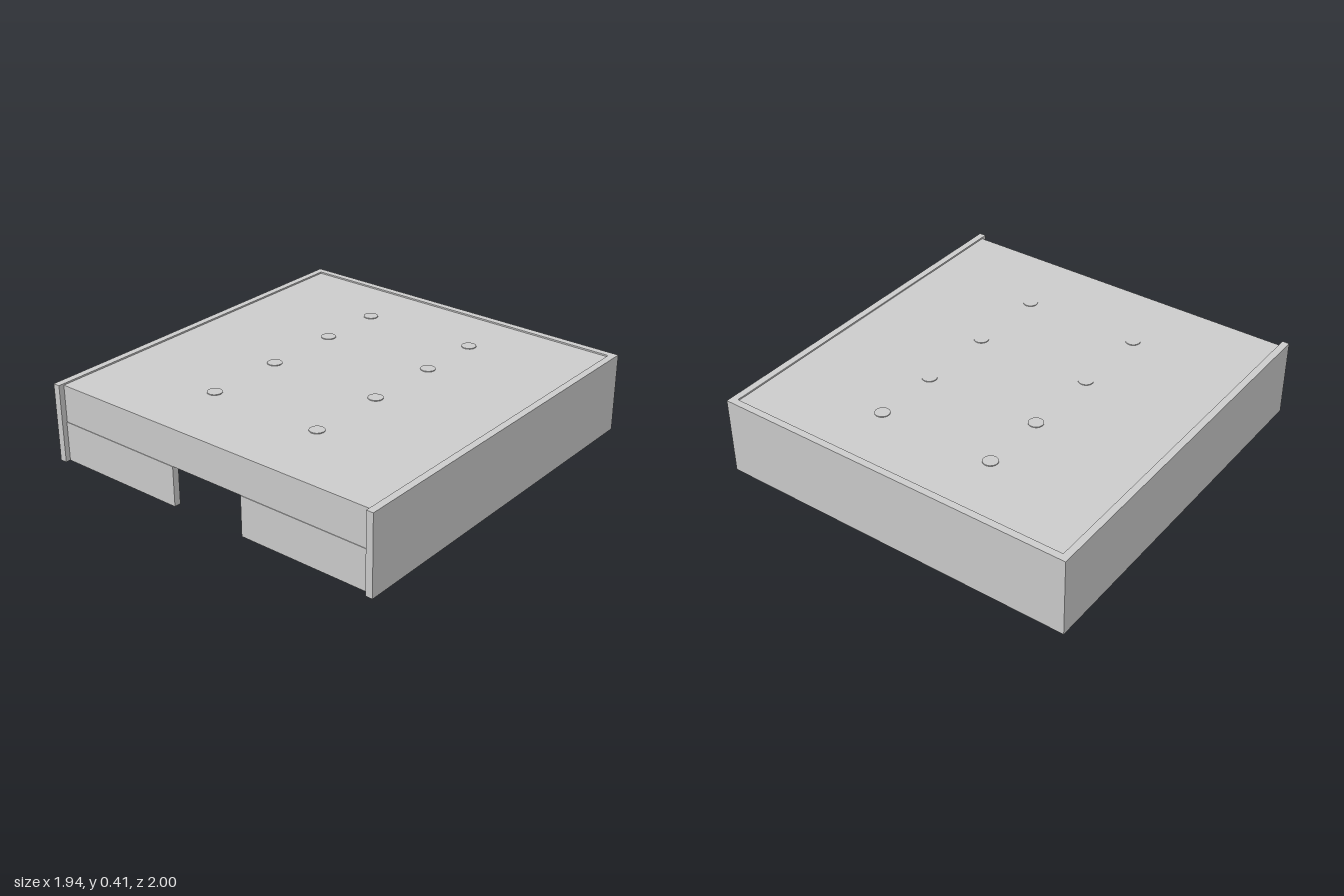
import * as THREE from 'three';

const mat = new THREE.MeshStandardMaterial({ color: 0xcccccc });

export function createModel() {
  const root = new THREE.Group();

  // box given by its min and max along each axis
  function box(name, x0, x1, y0, y1, z0, z1, parent = root) {
    const a = Math.min(x0, x1), b = Math.max(x0, x1);
    const m = new THREE.Mesh(new THREE.BoxGeometry(b - a, y1 - y0, z1 - z0), mat);
    m.position.set((a + b) / 2, (y0 + y1) / 2, (z0 + z1) / 2);
    m.name = name;
    parent.add(m);
    return m;
  }

  const H = 0.415, roofTop = 0.407, mid = 0.21;
  const wallIn = 0.933, stallX = 0.55;
  const rows = [0.57, 0.14, -0.28, -0.635];

  // outer shell
  for (const s of [1, -1]) {
    box('sideWall', s * wallIn, s * 0.97, 0, H, -1, 1);
    box('frontLowerWall', s * 0.21, s * wallIn, 0, mid, 0.937, 0.973);
  }
  box('backWall', -wallIn, wallIn, 0, H, -1, -0.963);
  box('frontUpperWall', -wallIn, wallIn, mid, roofTop, 0.937, 0.97);
  box('roof', -wallIn, wallIn, 0.395, roofTop, -0.963, 0.937);

  // two lines of columns, reaching just through the roof
  const columnGeo = new THREE.CylinderGeometry(0.038, 0.038, 0.411, 24);
  for (const s of [1, -1]) for (const z of rows) {
    const c = new THREE.Mesh(columnGeo, mat);
    c.name = 'column';
    c.position.set(s * 0.316, 0.2055, z);
    root.add(c);
  }

  // a row of stalls along each side wall
  const edges = [0.937, ...rows, -0.963];
  for (const s of [1, -1]) {
    const stalls = new THREE.Group();
    stalls.name = s > 0 ? 'leftStalls' : 'rightStalls';
    root.add(stalls);
    box('upperStallWall', s * stallX, s * (stallX + 0.02), mid, 0.395, -0.963, 0.937, stalls);

    for (const z of rows)
      box('partition', s * stallX, s * wallIn, 0, 0.395, z - 0.012, z + 0.012, stalls);

    for (let i = 0; i < 5; i++) {
      const z1 = edges[i] - 0.012, z0 = edges[i + 1] + 0.012;
      const x0 = s * (stallX + 0.004), x1 = s * (stallX + 0.014);
      // vertical bars
      const n = Math.round((z1 - z0) / 0.03);
      for (let k = 1; k < n; k++) {
        const z = z0 + (z1 - z0) * k / n;
        box('stallBar', x0, x1, 0, mid, z - 0.004, z + 0.004, stalls);
      }
      // gate frame in the middle of the stall front
      const c = (z0 + z1) / 2, w = (z1 - z0) * 0.22;
      for (const y of [0.01, 0.1, 0.185])
        box('gateRail', s * stallX, s * (stallX + 0.018), y, y + 0.016, c - w, c + w, stalls);
      for (const e of [-w, w])
        box('gatePost', s * stallX, s * (stallX + 0.018), 0, mid, c + e - 0.008, c + e + 0.008, stalls);
    }
  }
  return root;
}
